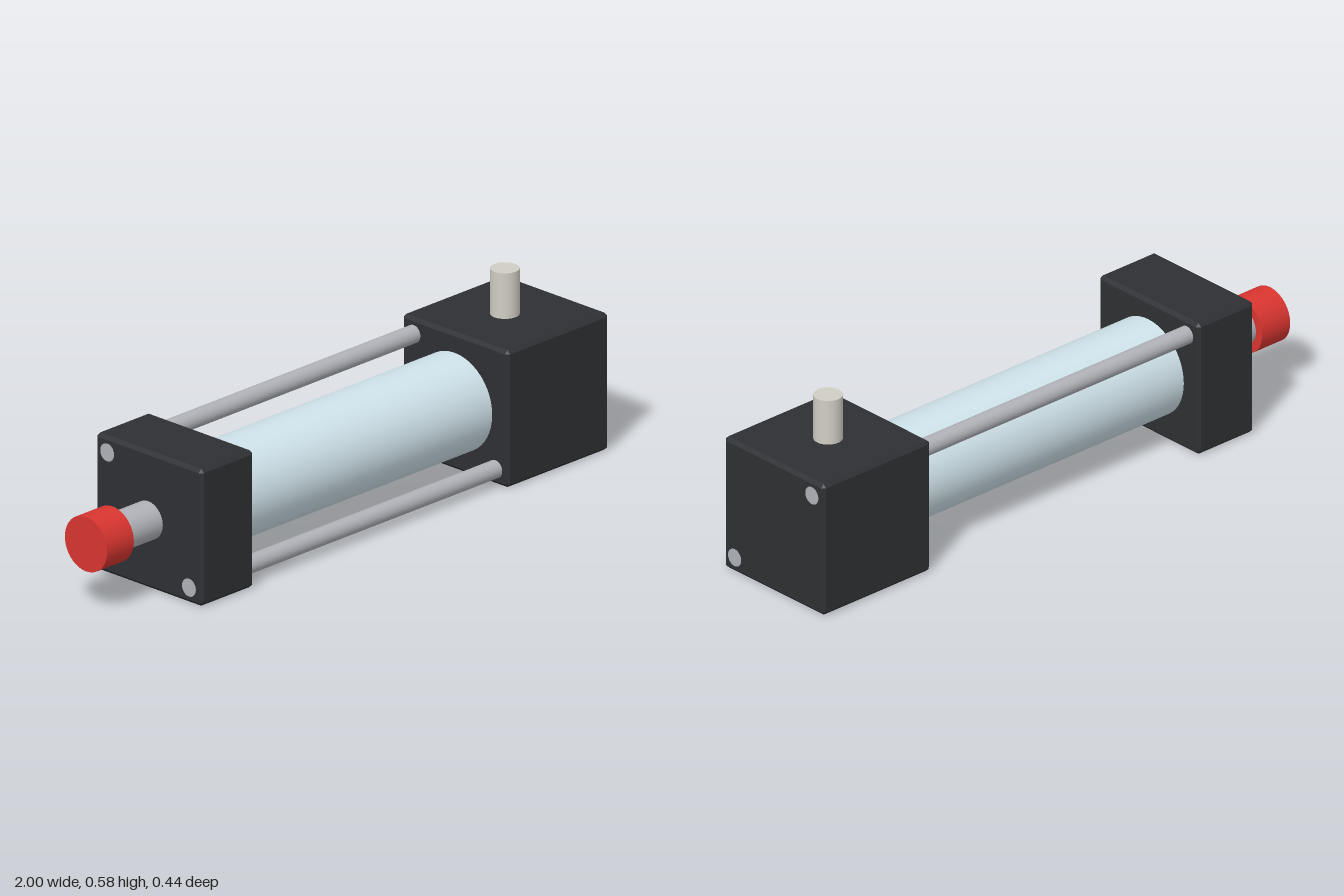
import * as THREE from 'three';
import { ConvexGeometry } from 'three/addons/geometries/ConvexGeometry.js';

const AXIS_Y = 0.218; // height of the cylinder axis
const HALF = 0.218;   // half width of the square end blocks

const paint = (color) => new THREE.MeshStandardMaterial({ color });

// Box between x0 and x1 with flat chamfers on every edge
function chamferedBlock(name, x0, x1, material) {
  const half = [(x1 - x0) / 2, HALF, HALF];
  const c = 0.011;
  const points = [];
  for (const sx of [-1, 1]) for (const sy of [-1, 1]) for (const sz of [-1, 1]) {
    for (let axis = 0; axis < 3; axis++) {
      const p = half.map((h, i) => (i === axis ? h : h - c));
      points.push(new THREE.Vector3(sx * p[0], sy * p[1], sz * p[2]));
    }
  }
  const mesh = new THREE.Mesh(new ConvexGeometry(points), material);
  mesh.name = name;
  mesh.position.set((x0 + x1) / 2, AXIS_Y, 0);
  return mesh;
}

// Round bar along x
function barX(name, radius, x0, x1, material, dy = 0, dz = 0) {
  const geometry = new THREE.CylinderGeometry(radius, radius, x1 - x0, 48).rotateZ(Math.PI / 2);
  const mesh = new THREE.Mesh(geometry, material);
  mesh.name = name;
  mesh.position.set((x0 + x1) / 2, AXIS_Y + dy, dz);
  return mesh;
}

export function createModel() {
  const group = new THREE.Group();
  group.name = 'pneumaticCylinder';
  const black = paint(0x2e3033);
  const steel = paint(0xb0b2b8);

  // End blocks
  group.add(chamferedBlock('frontCap', -0.736, -0.509, black));
  group.add(chamferedBlock('rearCap', 0.565, 0.999, black));

  // Barrel, piston rod and red rod tip
  group.add(barX('barrel', 0.155, -0.52, 0.58, paint(0xcfe2ea)));
  group.add(barX('pistonRod', 0.06, -0.95, -0.7, steel));
  group.add(barX('rodTip', 0.087, -1, -0.887, paint(0xd93530)));

  // Two tie rods on opposite corners, ending flush with the blocks
  for (const s of [-1, 1]) {
    group.add(barX('tieRod', 0.028, -0.737, 1, steel, s * 0.168, -s * 0.168));
  }

  // Port pin on top of the rear block
  const port = new THREE.Mesh(new THREE.CylinderGeometry(0.044, 0.044, 0.181, 48), paint(0xd0cdc3));
  port.name = 'portPin';
  port.position.set(0.779, 0.4905, 0);
  group.add(port);

  return group;
}
